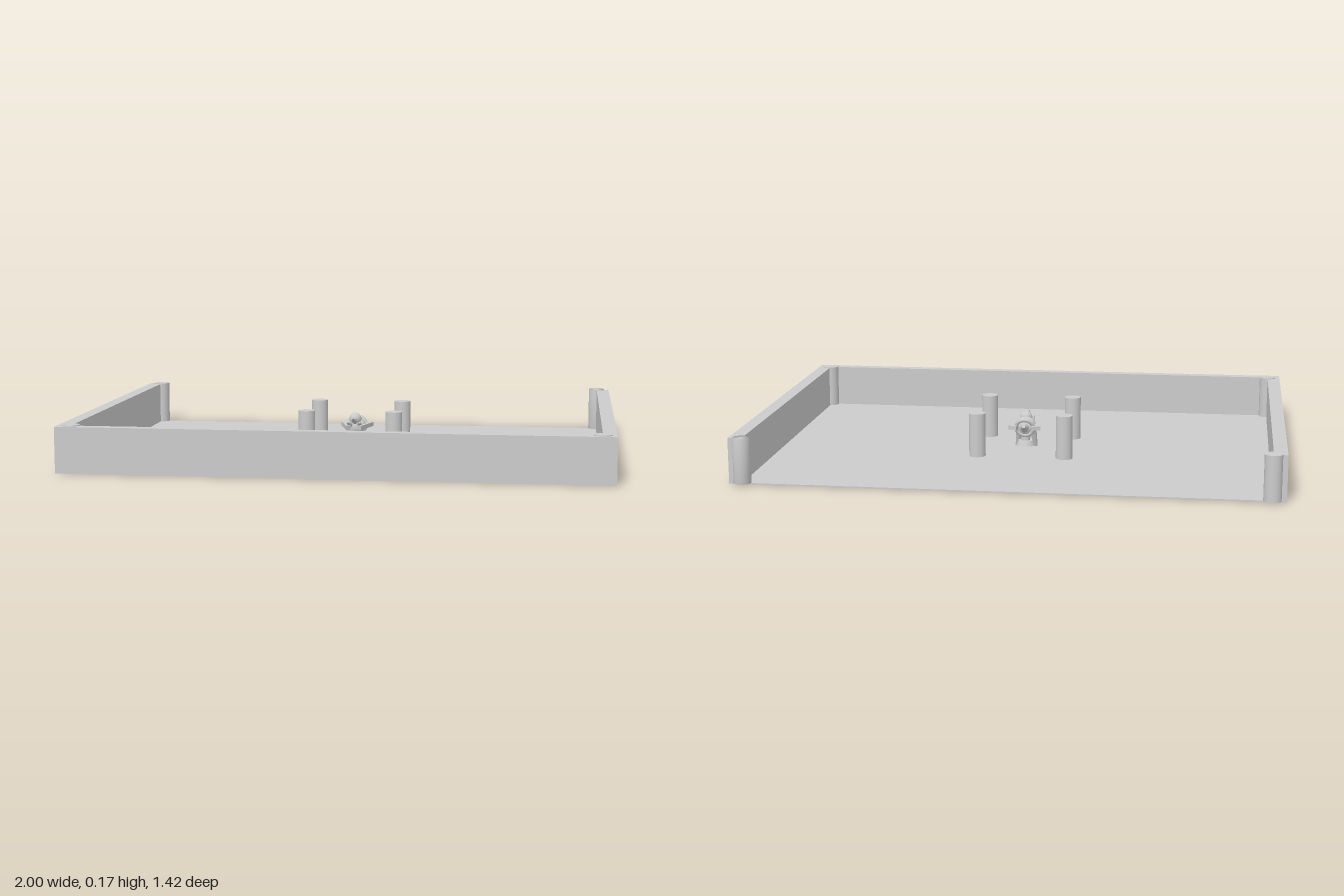
import * as THREE from 'three';
import { mergeVertices } from 'three/addons/utils/BufferGeometryUtils.js';

const material = new THREE.MeshStandardMaterial({ color: 0xcccccc });

function add(parent, name, geometry, x = 0, y = 0, z = 0) {
  const mesh = new THREE.Mesh(geometry, material);
  mesh.name = name;
  mesh.position.set(x, y, z);
  parent.add(mesh);
  return mesh;
}

// Tapered rod between two points
function rod(parent, name, a, b, r0, r1, sides = 10) {
  const from = new THREE.Vector3(...a), to = new THREE.Vector3(...b);
  const dir = to.clone().sub(from);
  const mesh = add(parent, name, new THREE.CylinderGeometry(r1, r0, dir.length(), sides));
  mesh.position.copy(from).lerp(to, 0.5);
  mesh.quaternion.setFromUnitVectors(new THREE.Vector3(0, 1, 0), dir.normalize());
  return mesh;
}

// Small statue: round body, folded side plates, collar, head and forward horn
function createStatue() {
  const statue = new THREE.Group();
  statue.name = 'statue';

  add(statue, 'statueFoot', new THREE.CylinderGeometry(0.028, 0.036, 0.02, 16), 0, 0.025, -0.02);
  rod(statue, 'statueWaist', [0, 0.03, -0.02], [0, 0.08, -0.01], 0.016, 0.024);
  const body = add(statue, 'statueBody', new THREE.SphereGeometry(0.042, 18, 12), 0, 0.088, -0.01);
  body.scale.set(1, 0.95, 0.9);

  const collar = add(statue, 'statueCollar', new THREE.TorusGeometry(0.035, 0.008, 8, 20), 0, 0.09, -0.045);
  collar.rotation.x = -0.35;
  rod(statue, 'statueBackKnob', [0, 0.09, -0.05], [0, 0.105, -0.085], 0.018, 0.008);

  // Side plates taper from the wide back towards the front
  const plate = new THREE.Shape();
  plate.moveTo(0.03, 0.075);
  plate.lineTo(0.064, 0.062);
  plate.lineTo(0.05, 0.01);
  plate.lineTo(0.03, -0.065);
  plate.lineTo(0.014, -0.045);
  plate.closePath();
  const plateGeometry = new THREE.ExtrudeGeometry(plate, { depth: 0.016, bevelEnabled: false });
  plateGeometry.rotateX(-Math.PI / 2);
  for (const side of [-1, 1]) {
    const mesh = add(statue, 'statueSidePlate', plateGeometry, 0, 0.085, 0);
    if (side < 0) {
      mesh.rotation.z = Math.PI;
      mesh.position.y += 0.016;
    }
    rod(statue, 'statueLeg', [side * 0.035, 0.006, 0.015], [side * 0.028, 0.08, -0.005], 0.009, 0.013);
    rod(statue, 'statueProng', [side * 0.018, 0.1, 0.02], [side * 0.024, 0.115, 0.068], 0.01, 0.003);
  }
  add(statue, 'statueHead', new THREE.SphereGeometry(0.024, 14, 10), 0, 0.122, 0.005);
  rod(statue, 'statueHorn', [0, 0.112, 0.01], [0, 0.134, 0.095], 0.014, 0.002);
  return statue;
}

export function createModel() {
  const model = new THREE.Group();
  model.name = 'walledCourt';
  const wallTop = 0.17;

  // Thin floor, open along the back
  add(model, 'floor', new THREE.BoxGeometry(2, 0.005, 1.387), 0, 0.0025, 0.0145);

  // Perimeter walls
  add(model, 'frontWall', new THREE.BoxGeometry(2, wallTop, 0.04), 0, wallTop / 2, 0.688);
  for (const side of [-1, 1]) {
    add(model, 'sideWall', new THREE.BoxGeometry(0.05, wallTop, 1.387), side * 0.975, wallTop / 2, 0.0145);
  }

  // Round pillars at the corners and around the centre
  const pillar = new THREE.CylinderGeometry(0.032, 0.032, 0.168, 24);
  const softPillar = pillar.clone();
  softPillar.deleteAttribute('normal');
  softPillar.deleteAttribute('uv');
  const softGeometry = mergeVertices(softPillar);
  softGeometry.computeVertexNormals();
  for (const side of [-1, 1]) {
    add(model, 'backCornerPillar', side > 0 ? softGeometry : pillar, side * 0.95, 0.089, -0.677);
    add(model, 'frontCornerPillar', pillar, side * 0.95, 0.089, 0.665);
    for (const z of [-0.172, 0.163]) {
      add(model, 'centrePillar', pillar, side * 0.168, 0.089, z);
    }
  }

  model.add(createStatue());
  return model;
}
